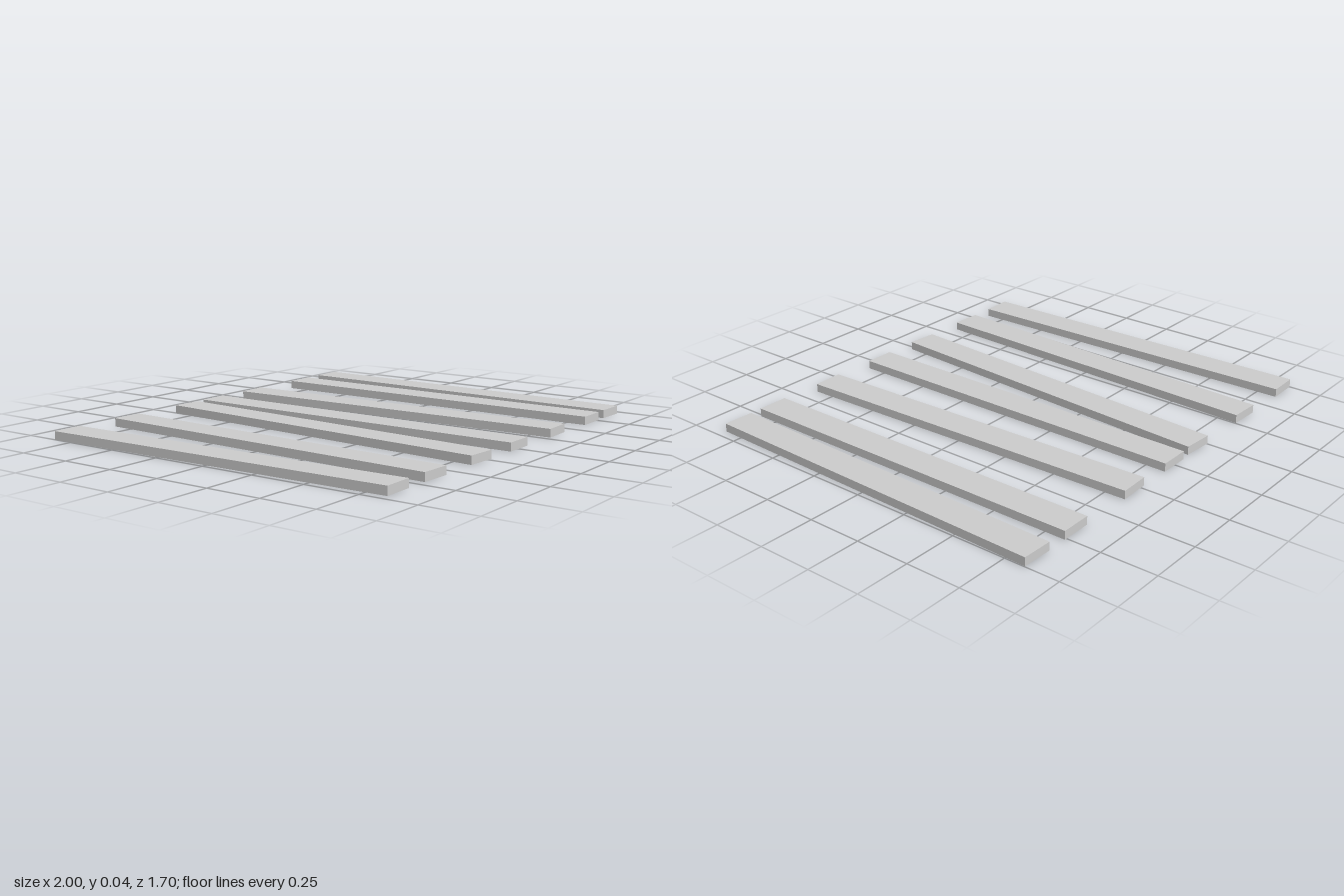
import * as THREE from 'three';

const WIDTH = 0.141, HEIGHT = 0.038, LENGTH = 1.69;

// Each plank: centre x, and how far its front end is shifted in x from its back end
const PLANKS = [
  [-0.91, 0.04],
  [-0.607, -0.064],
  [-0.24, -0.116],
  [0.005, 0],
  [0.324, 0.053],
  [0.69, 0],
  [0.907, -0.04],
];

export function createModel() {
  const model = new THREE.Group();
  model.name = 'plankRow';
  const material = new THREE.MeshStandardMaterial({ color: 0xcccccc, flatShading: true });
  const geometry = new THREE.BoxGeometry(WIDTH, HEIGHT, LENGTH);

  // Loose planks lying side by side, some turned slightly askew
  PLANKS.forEach(([x, shift], i) => {
    const plank = new THREE.Mesh(geometry, material);
    plank.name = `plank${i + 1}`;
    plank.position.set(x, HEIGHT / 2, 0);
    plank.rotation.y = Math.asin(shift / LENGTH);
    model.add(plank);
  });

  return model;
}
